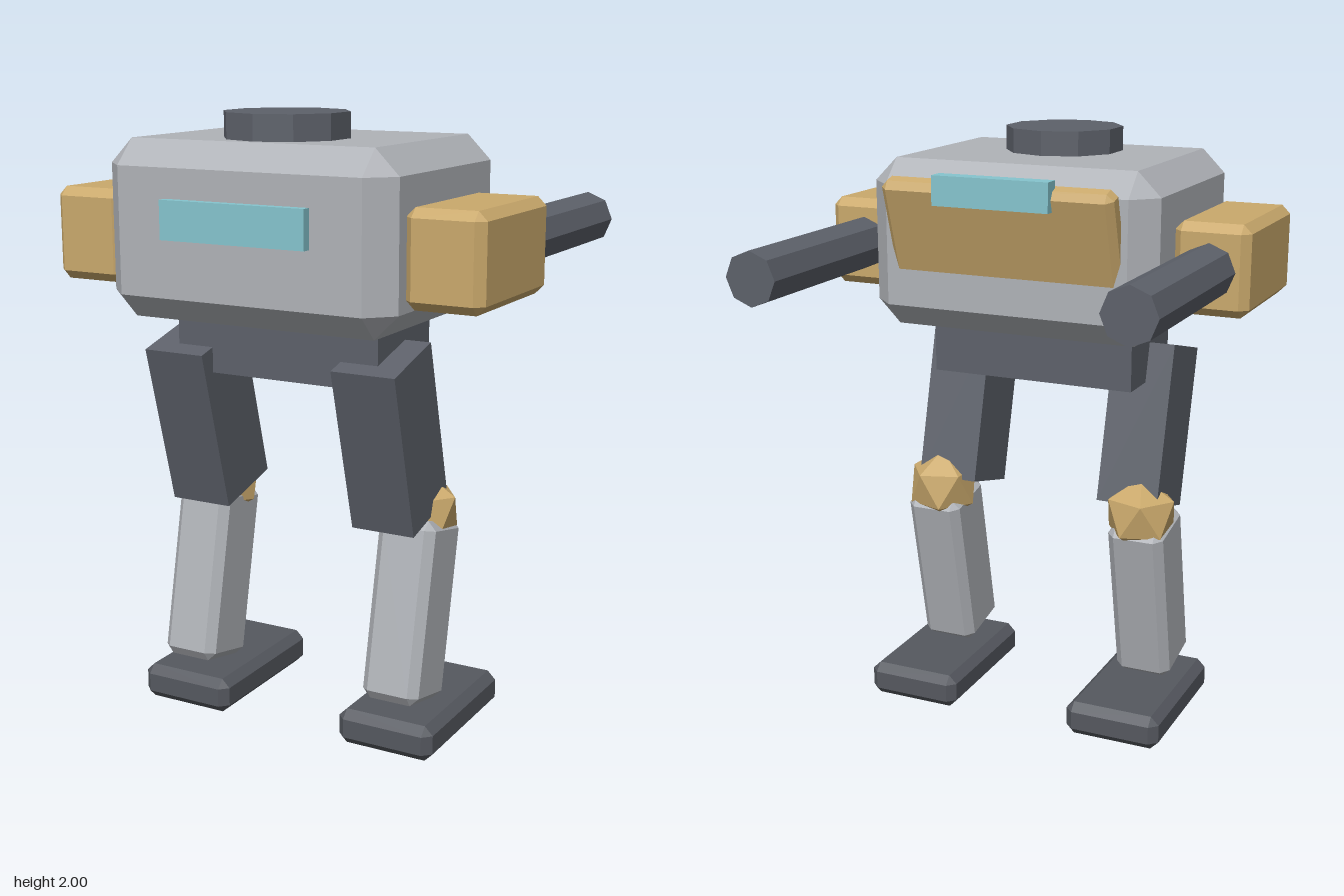
import * as THREE from 'three';
import { ConvexGeometry } from 'three/addons/geometries/ConvexGeometry.js';

const paint = (name, color) => {
  const m = new THREE.MeshStandardMaterial({ color, flatShading: true });
  m.name = name;
  return m;
};

// Box with flat 45 degree bevels on every edge and corner
function bevelBox(w, h, d, c) {
  const pts = [];
  for (const x of [-1, 1]) for (const y of [-1, 1]) for (const z of [-1, 1]) {
    for (let axis = 0; axis < 3; axis++) {
      const inset = [0, 1, 2].map(i => (i === axis ? 0 : c));
      pts.push(new THREE.Vector3(
        x * (w / 2 - inset[0]), y * (h / 2 - inset[1]), z * (d / 2 - inset[2])));
    }
  }
  return new ConvexGeometry(pts);
}

// Twenty-sided ball with upright poles; one upper corner points along +x * side
function kneeBall(r, side) {
  const pts = [new THREE.Vector3(0, r, 0), new THREE.Vector3(0, -r, 0)];
  for (let i = 0; i < 10; i++) {
    const a = i * Math.PI / 5, up = i % 2 ? -1 : 1;
    pts.push(new THREE.Vector3(
      side * Math.cos(a) * r * 0.894, up * r * 0.447, Math.sin(a) * r * 0.894));
  }
  return new ConvexGeometry(pts);
}

export function createModel() {
  const root = new THREE.Group();
  root.name = 'walker';

  const grey = paint('hull grey', 0xb0b3b8);
  const tan = paint('armour tan', 0xcaa96c);
  const dark = paint('frame dark grey', 0x5d616a);
  const foot = paint('foot dark grey', 0x55585f);
  const teal = paint('glass teal', 0x86c5ce);

  const add = (parent, name, geometry, material, x, y, z, tilt = 0) => {
    const mesh = new THREE.Mesh(geometry, material);
    mesh.name = name;
    mesh.position.set(x, y, z);
    mesh.rotation.x = tilt;
    parent.add(mesh);
    return mesh;
  };

  // Hull, hatch and hip block
  add(root, 'hull', bevelBox(0.99, 0.55, 0.79, 0.078), grey, 0, 1.645, 0.235);
  add(root, 'hatch', new THREE.CylinderGeometry(0.197, 0.197, 0.12, 10), dark, 0, 1.94, 0.33);
  add(root, 'hips', new THREE.BoxGeometry(0.715, 0.24, 0.355), dark, 0, 1.3, 0.235);

  // Front visor, leaning back plate and its rear light
  add(root, 'visor', new THREE.BoxGeometry(0.495, 0.12, 0.06), teal, 0, 1.69, 0.63);
  add(root, 'backPlate', bevelBox(0.79, 0.44, 0.08, 0.022), tan, 0, 1.66, -0.146, -0.3);
  add(root, 'rearLight', new THREE.BoxGeometry(0.395, 0.095, 0.056), teal, 0, 1.848, -0.235);

  for (const side of [1, -1]) {
    // Shoulder pod with a long barrel to the rear
    const arm = new THREE.Group();
    arm.name = side > 0 ? 'leftArm' : 'rightArm';
    root.add(arm);
    add(arm, 'shoulderPod', bevelBox(0.25, 0.295, 0.495, 0.028), tan, side * 0.617, 1.607, 0.282);
    add(arm, 'barrel', new THREE.CylinderGeometry(0.088, 0.088, 0.76, 8), dark,
      side * 0.613, 1.607, -0.28, Math.PI / 2);

    // Bent leg
    const leg = new THREE.Group();
    leg.name = side > 0 ? 'leftLeg' : 'rightLeg';
    root.add(leg);
    add(leg, 'thigh', new THREE.BoxGeometry(0.215, 0.55, 0.255), dark, side * 0.338, 1.012, 0.282, 0.26);
    add(leg, 'knee', kneeBall(0.13, side), tan, side * 0.376, 0.738, 0.132);
    add(leg, 'shin', bevelBox(0.197, 0.59, 0.232, 0.028), grey, side * 0.38, 0.432, 0.212, -0.21);
    add(leg, 'foot', bevelBox(0.333, 0.118, 0.55, 0.028), foot, side * 0.377, 0.059, 0.135);
  }
  return root;
}
